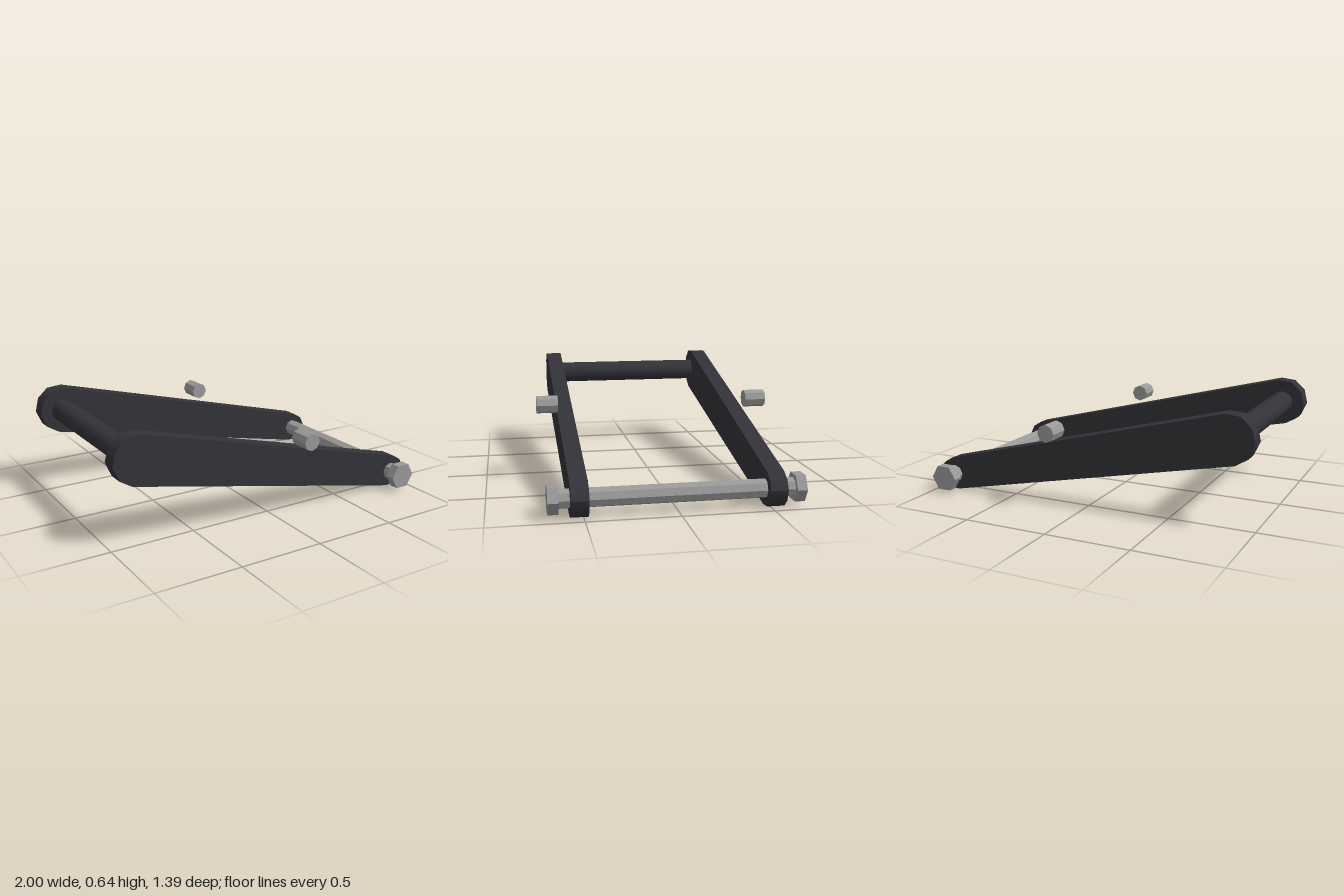
import * as THREE from 'three';
import { toCreasedNormals } from 'three/addons/utils/BufferGeometryUtils.js';

export function createModel() {
  const model = new THREE.Group();
  const darkPaint = new THREE.MeshStandardMaterial({ color: 0x333238 });
  const bareSteel = new THREE.MeshStandardMaterial({ color: 0x999999 });
  darkPaint.name = 'darkPaint';
  bareSteel.name = 'bareSteel';

  const add = (name, geometry, material, x, y, z) => {
    const mesh = new THREE.Mesh(geometry, material);
    mesh.name = name;
    mesh.position.set(x, y, z);
    model.add(mesh);
  };

  // Cylinder lying along z; crease angle decides whether facets stay flat
  const bar = (radius, length, sides, turn = 0, crease = 0.7) =>
    toCreasedNormals(
      new THREE.CylinderGeometry(radius, radius, length, sides, 1, false, turn).rotateX(Math.PI / 2),
      crease
    );

  // Tapered side arm with faceted round ends
  const outline = [
    [-1, 0.5], [-0.965, 0.42], [-0.895, 0.377], [0.875, 0.003], [0.94, 0.01], [0.983, 0.05],
    [1, 0.11], [0.975, 0.162], [0.92, 0.196], [-0.83, 0.648], [-0.918, 0.64], [-0.98, 0.583],
  ].map(([x, y]) => new THREE.Vector2(x, y));
  const armGeometry = toCreasedNormals(
    new THREE.ExtrudeGeometry(new THREE.Shape(outline), { depth: 0.095, bevelEnabled: false })
      .translate(0, 0, -0.0475),
    0.7
  );

  // Arms, stub pins and bolt heads on both sides
  const pinGeometry = bar(0.052, 0.125, 8);
  const headGeometry = bar(0.083, 0.056, 6, Math.PI / 6);
  for (const [side, s] of [['front', 1], ['back', -1]]) {
    add(side + 'Arm', armGeometry, darkPaint, 0, 0, s * 0.5235);
    add(side + 'Pin', pinGeometry, bareSteel, 0.165, 0.46, s * 0.6335);
    add(side + 'BoltHead', headGeometry, bareSteel, 0.897, 0.1, s * 0.658);
  }

  // Cross members joining the arms
  add('crossBar', bar(0.068, 0.96, 32), darkPaint, -0.86, 0.51, 0);
  add('axleRod', bar(0.053, 1.27, 8), bareSteel, 0.897, 0.1, 0);

  return model;
}
